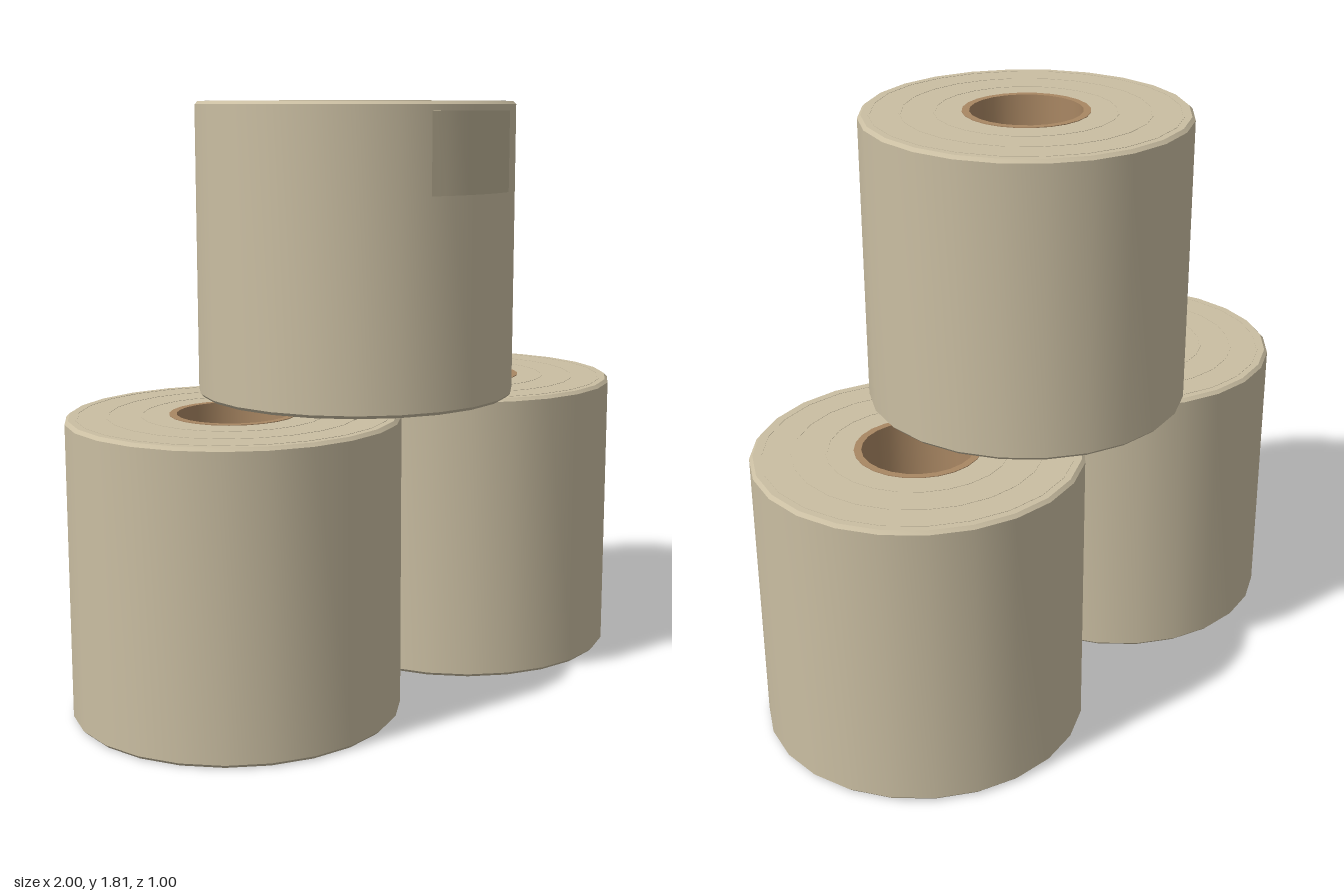
import * as THREE from 'three';
import { toCreasedNormals } from 'three/addons/utils/BufferGeometryUtils.js';

const R = 0.494, H = 0.9, HOLE = 0.187, BEVEL = 0.01;

const lathe = (points, segments, start = 0, length = Math.PI * 2) =>
  toCreasedNormals(new THREE.LatheGeometry(
    points.map(([r, y]) => new THREE.Vector2(r, y)), segments, start, length), 0.6);

// Closed rectangular section from inner to outer radius
const band = (inner, outer, y0, y1) =>
  [[inner, y0], [outer, y0], [outer, y1], [inner, y1], [inner, y0]];

export function createModel() {
  const model = new THREE.Group();
  const paper = new THREE.MeshStandardMaterial({ color: 0xcabea2 });
  const card = new THREE.MeshStandardMaterial({ color: 0xa98763 });
  const flap = new THREE.MeshStandardMaterial({ color: 0xbbb095, side: THREE.DoubleSide });

  const add = (parent, name, geometry, material) => {
    const mesh = new THREE.Mesh(geometry, material);
    mesh.name = name;
    parent.add(mesh);
  };

  // Wound paper with softened rims and an open middle
  const rollGeometry = lathe([
    [HOLE, 0], [R - BEVEL, 0], [R, BEVEL], [R, H - BEVEL],
    [R - BEVEL, H], [HOLE, H], [HOLE, 0],
  ], 24);
  const coreGeometry = lathe(band(0.168, HOLE + 0.003, 0, H + 0.002), 24);
  // Faint winding lines on the top face
  const windingGeometries = [0.27, 0.37, 0.46].map(
    (r) => lathe(band(r - 0.003, r + 0.003, H - 0.003, H + 0.001), 24));

  const makeRoll = (name, x, y) => {
    const roll = new THREE.Group();
    roll.name = name;
    roll.position.set(x, y, -0.005);
    add(roll, 'paper', rollGeometry, paper);
    add(roll, 'core', coreGeometry, card);
    windingGeometries.forEach((g) => add(roll, 'windingLine', g, paper));
    model.add(roll);
    return roll;
  };

  makeRoll('leftRoll', 0.506, 0);
  makeRoll('rightRoll', -0.506, 0);
  const topRoll = makeRoll('topRoll', 0, 0.906);

  // Loose end sheet curved around the front of the top roll
  add(topRoll, 'endSheet', lathe(band(0.495, 0.505, 0.634, 0.872), 8, -0.333, 0.666), flap);

  return model;
}
